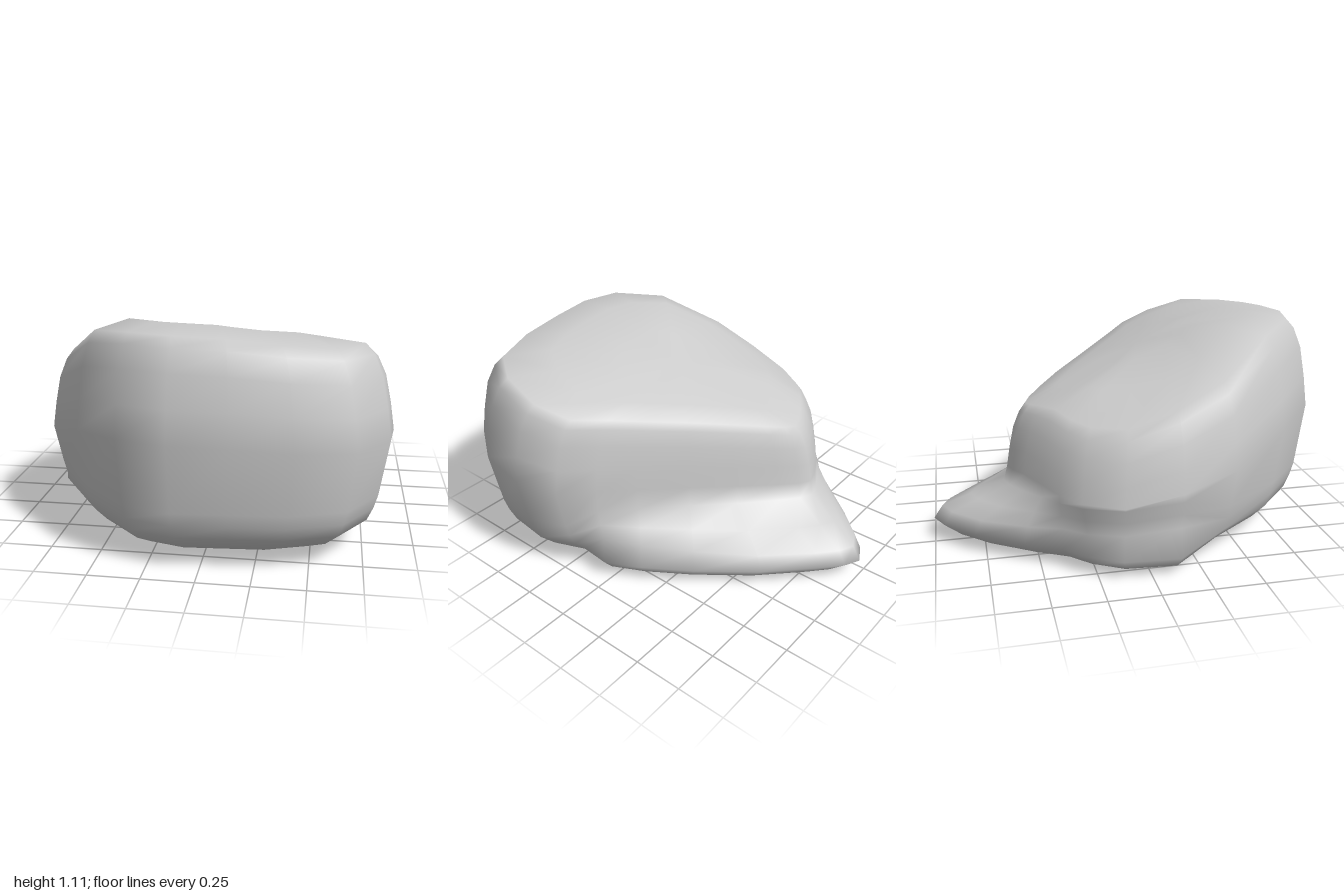
import * as THREE from 'three';

// Plan outlines, from the back tip round by -x, front and +x: [x, z]
const ledgeOutline = [
  [-0.18, -1], [-0.28, -0.95], [-0.42, -0.8], [-0.57, -0.57], [-0.66, -0.4], [-0.76, -0.3],
  [-0.85, -0.14], [-0.87, 0.13], [-0.83, 0.4], [-0.6, 0.72], [-0.36, 0.94], [-0.12, 1],
  [0.15, 0.98], [0.43, 0.96], [0.7, 0.87], [0.85, 0.65], [0.88, 0.4], [0.8, 0.2],
  [0.67, 0.03], [0.58, -0.15], [0.43, -0.38], [0.22, -0.65], [0, -0.87], [-0.1, -0.96],
];
const bodyOutline = [
  [-0.27, -0.62], [-0.34, -0.6], [-0.44, -0.55], [-0.55, -0.48], [-0.66, -0.41], [-0.76, -0.32],
  [-0.87, -0.14], [-0.885, 0.13], [-0.83, 0.4], [-0.6, 0.72], [-0.36, 0.94], [-0.12, 1],
  [0.15, 0.98], [0.43, 0.96], [0.7, 0.87], [0.85, 0.65], [0.88, 0.4], [0.8, 0.2],
  [0.64, 0.08], [0.48, -0.05], [0.27, -0.22], [0.08, -0.38], [-0.1, -0.52], [-0.2, -0.59],
];
const CX = -0.05, CZ = 0.1;

// Top of the boulder: slopes down to the back, bevelled on the -x side
const roof = (x, z) =>
  Math.min(1.105, 0.91 + 0.37 * z) - 0.1 * Math.max(0, x) - 0.5 * Math.max(0, -x - 0.45);

// Ledge rings: height, blend from ledge to body, scale at the back and at the tapered front
const ledgeRings = [
  { h: 0, blend: 0, back: 0.45, front: 0.35 },
  { h: 0, blend: 0, back: 0.8, front: 0.6 },
  { h: 0.03, blend: 0, back: 0.92, front: 0.7 },
  { h: 0.1, blend: 0, back: 1, front: 0.83 },
  { h: 0.17, blend: 0.08, back: 0.985, front: 0.905, lift: 0.1 },
  { h: 0.24, blend: 0.48, back: 0.99, front: 0.935, lift: 0.1 },
  { h: 0.31, blend: 0.95, back: 1, front: 0.955, lift: 0.1 },
];
// Body rings: fraction of the roof height and scale
const bodyRings = [
  [0.58, 1], [0.72, 0.977], [0.86, 0.945], [0.95, 0.9], [0.99, 0.855], [1, 0.62], [1, 0.3],
];

function boulderGeometry() {
  const n = bodyOutline.length;
  const positions = [];
  const index = [];
  for (const { h, blend, back, front, lift = 0 } of ledgeRings) {
    bodyOutline.forEach(([bx, bz], i) => {
      const isFront = bz > 0.15;
      const scale = isFront ? front : back;
      const x = CX + (THREE.MathUtils.lerp(ledgeOutline[i][0], bx, blend) - CX) * scale;
      const z = CZ + (THREE.MathUtils.lerp(ledgeOutline[i][1], bz, blend) - CZ) * scale;
      // The ledge thickens away from its tip
      positions.push(x, h + (isFront ? 0 : lift * Math.max(0, z + 0.7)), z);
    });
  }
  for (const [h, scale] of bodyRings) {
    for (const [bx, bz] of bodyOutline) {
      const x = CX + (bx - CX) * scale;
      const z = CZ + (bz - CZ) * scale;
      positions.push(x, h * roof(x, z), z);
    }
  }
  // Side quads between neighbouring rings
  const last = (ledgeRings.length + bodyRings.length - 1) * n;
  for (let r = 0; r < last; r += n) {
    for (let i = 0; i < n; i++) {
      const a = r + i;
      const b = r + (i + 1) % n;
      index.push(a, b, b + n, a, b + n, a + n);
    }
  }
  // Underside and top fans
  const bottom = last + n;
  const top = bottom + 1;
  positions.push(CX, 0, CZ, CX, roof(CX, CZ), CZ);
  for (let i = 0; i < n; i++) {
    const j = (i + 1) % n;
    index.push(bottom, j, i, top, last + i, last + j);
  }
  const geometry = new THREE.BufferGeometry();
  geometry.setAttribute('position', new THREE.Float32BufferAttribute(positions, 3));
  geometry.setIndex(index);
  geometry.computeVertexNormals();
  return geometry;
}

export function createModel() {
  const group = new THREE.Group();
  group.name = 'rock';
  const boulder = new THREE.Mesh(
    boulderGeometry(),
    new THREE.MeshStandardMaterial({ color: 0xcccccc }),
  );
  boulder.name = 'boulderWithLedge';
  group.add(boulder);
  return group;
}
